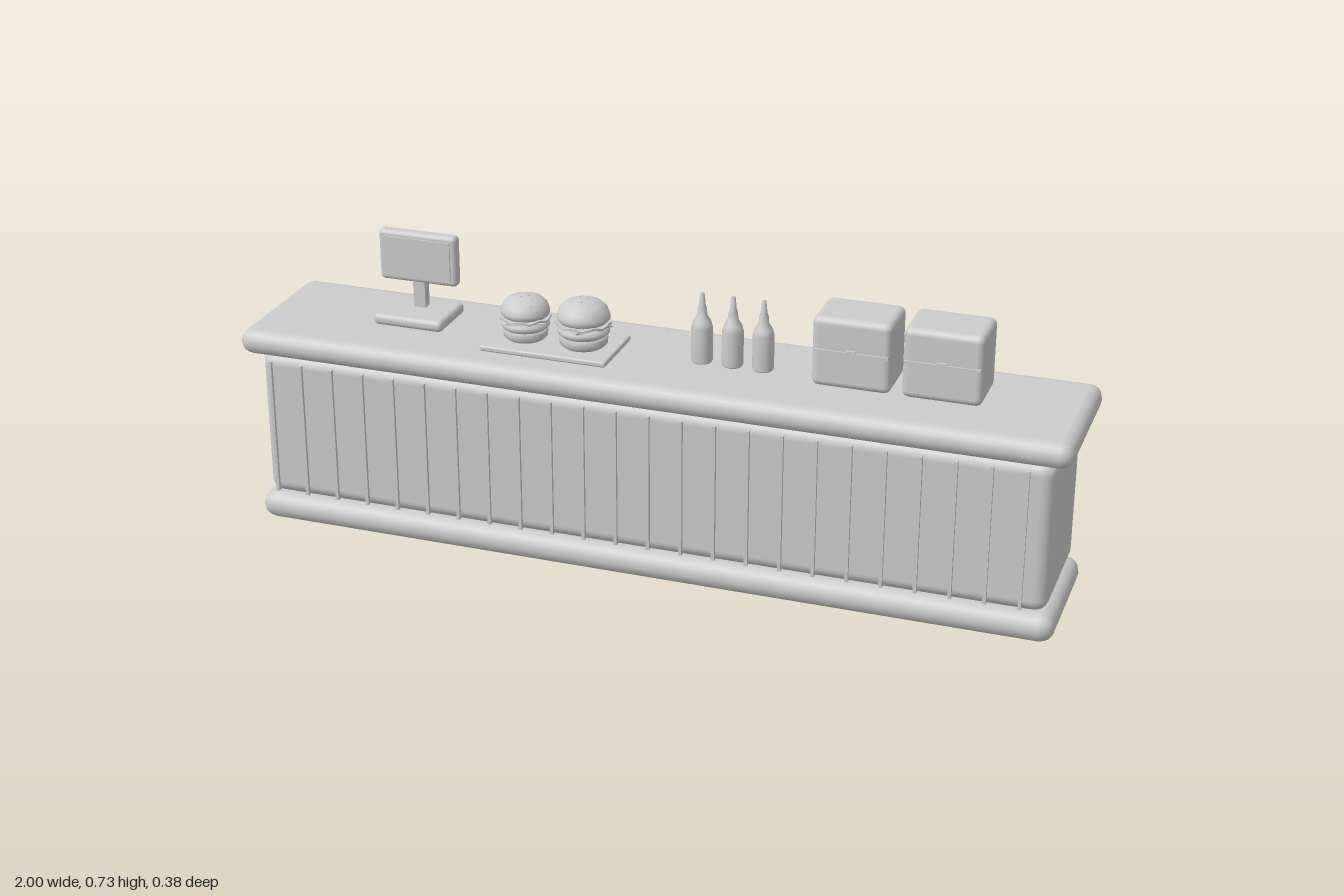
import * as THREE from 'three';
import { RoundedBoxGeometry } from 'three/addons/geometries/RoundedBoxGeometry.js';

export function createModel() {
  const model = new THREE.Group();
  model.name = 'servingCounter';
  const grey = new THREE.MeshStandardMaterial({ color: 0xcccccc });
  grey.name = 'plain grey';

  function add(parent, name, geometry, x = 0, y = 0, z = 0) {
    const mesh = new THREE.Mesh(geometry, grey);
    mesh.name = name;
    mesh.position.set(x, y, z);
    parent.add(mesh);
    return mesh;
  }
  function group(name, x, y, z) {
    const g = new THREE.Group();
    g.name = name;
    g.position.set(x, y, z);
    model.add(g);
    return g;
  }
  const rounded = (w, h, d, r, s = 2) => new RoundedBoxGeometry(w, h, d, s, r);
  const box = (w, h, d) => new THREE.BoxGeometry(w, h, d);
  const lathe = (points, sides) =>
    new THREE.LatheGeometry(points.map(([r, y]) => new THREE.Vector2(r, y)), sides);

  // Counter: plinth, body and worktop
  add(model, 'plinth', rounded(1.96, 0.07, 0.346, 0.034), 0, 0.035, 0);
  add(model, 'counterBody', rounded(1.92, 0.37, 0.314, 0.032, 3), 0, 0.255, 0);
  add(model, 'worktop', rounded(2, 0.062, 0.378, 0.03), 0, 0.471, 0);

  // Thin upright battens along the front
  const batten = box(0.008, 0.34, 0.012);
  for (let i = 0; i < 24; i++) {
    add(model, 'batten', batten, -0.932 + i * 0.0797, 0.25, 0.159);
  }

  // Till with a screen on a stalk
  const till = group('till', -0.61, 0, 0);
  add(till, 'tillBase', rounded(0.176, 0.028, 0.144, 0.012), 0, 0.527, 0);
  add(till, 'tillStalk', box(0.03, 0.08, 0.024), 0, 0.575, -0.016);
  add(till, 'tillMonitor', rounded(0.198, 0.125, 0.032, 0.011), 0, 0.6655, -0.016);
  add(till, 'tillScreen', box(0.17, 0.095, 0.006), 0, 0.667, 0.001);

  // Serving tray
  add(model, 'tray', rounded(0.312, 0.014, 0.176, 0.005), -0.248, 0.514, 0.036);

  // Burgers: bun, patty, square cheese, wavy lettuce, domed bun with seeds
  const lowerBun = lathe([[0, 0], [0.045, 0], [0.053, 0.007], [0.054, 0.02], [0.05, 0.027], [0, 0.027]], 24);
  const patty = lathe([[0, 0.027], [0.052, 0.027], [0.058, 0.033], [0.058, 0.041], [0.052, 0.047], [0, 0.047]], 24);
  const upperBun = lathe([[0, 0.058], [0.054, 0.058], [0.059, 0.064], [0.059, 0.072],
    [0.054, 0.086], [0.042, 0.098], [0.023, 0.105], [0, 0.107]], 24);
  const lettuce = new THREE.CylinderGeometry(0.062, 0.062, 0.005, 32);
  const p = lettuce.attributes.position;
  for (let i = 0; i < p.count; i++) {
    const a = Math.atan2(p.getZ(i), p.getX(i));
    const r = Math.hypot(p.getX(i), p.getZ(i));
    if (r > 0.01) p.setY(i, p.getY(i) + 0.003 * Math.sin(8 * a));
  }
  lettuce.computeVertexNormals();
  const seed = new THREE.SphereGeometry(0.0035, 8, 6);

  [[-0.321, 0.98, 0.35], [-0.176, 1.06, 0.9]].forEach(([x, size, turn]) => {
    const burger = group('burger', x, 0.521, 0.037);
    burger.scale.setScalar(size);
    burger.rotation.y = turn;
    add(burger, 'lowerBun', lowerBun);
    add(burger, 'patty', patty);
    add(burger, 'cheese', box(0.092, 0.004, 0.092), 0, 0.049, 0);
    add(burger, 'lettuce', lettuce, 0, 0.055, 0);
    add(burger, 'upperBun', upperBun);
    for (let i = 0; i < 14; i++) {
      const a = i * 2.4;
      const r = 0.05 * Math.sqrt((i + 0.4) / 14);
      const y = 0.064 + 0.043 * Math.sqrt(1 - (r / 0.06) ** 2);
      add(burger, 'seed', seed, r * Math.cos(a), y, r * Math.sin(a)).scale.y = 0.8;
    }
  });

  // Sauce bottles
  const bottle = lathe([[0, 0], [0.022, 0], [0.025, 0.004], [0.025, 0.085], [0.021, 0.1],
    [0.012, 0.115], [0.011, 0.13], [0.008, 0.14], [0.005, 0.168], [0, 0.17]], 20);
  [0.105, 0.179, 0.252].forEach((x) => add(model, 'sauceBottle', bottle, x, 0.509, 0.013));

  // Pair of dispensers with a seam strip and knob
  [0.475, 0.683].forEach((x) => {
    const dispenser = group('dispenser', x, 0, 0.014);
    add(dispenser, 'dispenserCase', rounded(0.182, 0.167, 0.138, 0.016, 3), 0, 0.6005, 0);
    add(dispenser, 'seamStrip', box(0.172, 0.006, 0.008), 0, 0.606, 0.069);
    add(dispenser, 'dispenserKnob', box(0.022, 0.01, 0.01), 0, 0.609, 0.07);
  });

  return model;
}
